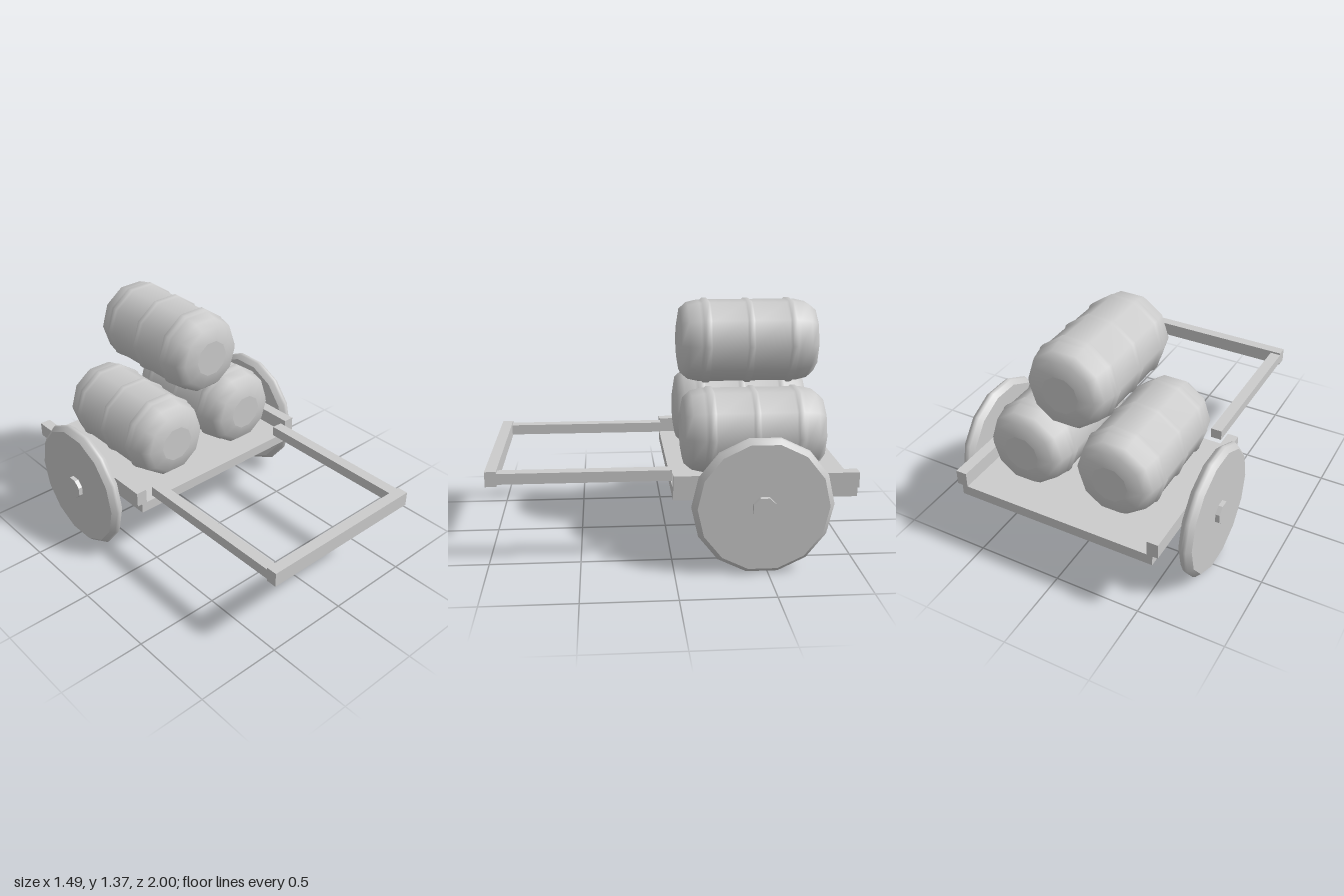
import * as THREE from 'three';

const mat = new THREE.MeshStandardMaterial({ color: 0xcccccc });
const AXLE_Y = 0.373, MID_Z = -0.47;

function add(parent, name, geometry, x = 0, y = 0, z = 0) {
  const mesh = new THREE.Mesh(geometry, mat);
  mesh.name = name;
  mesh.position.set(x, y, z);
  parent.add(mesh);
  return mesh;
}

// box given by its extents on each axis
function box(parent, name, [x0, x1], [y0, y1], [z0, z1]) {
  return add(parent, name, new THREE.BoxGeometry(x1 - x0, y1 - y0, z1 - z0),
    (x0 + x1) / 2, (y0 + y1) / 2, (z0 + z1) / 2);
}

// ten-sided barrel lying along z, with three raised hoops and flat heads
function createBarrel(name, x, y) {
  const barrel = new THREE.Group();
  barrel.name = name;
  const R = 0.237, HOOP = 0.246, HEAD = 0.105, HALF = 0.402;
  const pts = [[HEAD, -HALF], [0.185, -0.388], [0.222, -0.345], [R, -0.28]];
  for (const h of [-0.24, 0, 0.24]) {
    pts.push([R, h - 0.024], [HOOP, h - 0.014], [HOOP, h + 0.014], [R, h + 0.024]);
  }
  pts.push([R, 0.28], [0.222, 0.345], [0.185, 0.388], [HEAD, HALF]);
  const body = new THREE.LatheGeometry(pts.map(p => new THREE.Vector2(...p)), 10, Math.PI / 2);
  body.rotateX(Math.PI / 2);
  add(barrel, 'barrelBody', body);
  const head = new THREE.CircleGeometry(HEAD, 10);
  add(barrel, 'barrelFrontHead', head, 0, 0, HALF);
  add(barrel, 'barrelBackHead', head, 0, 0, -HALF).rotation.y = Math.PI;
  barrel.position.set(x, y, MID_Z + 0.003);
  return barrel;
}

export function createModel() {
  const cart = new THREE.Group();
  cart.name = 'barrelCart';

  // bed and axle
  box(cart, 'bed', [-0.585, 0.585], [0.377, 0.437], [-1, 0]);
  box(cart, 'axle', [-0.63, 0.63], [0.356, 0.396], [MID_Z - 0.02, MID_Z + 0.02]);

  // wheel disc with bevelled rim, axis along x
  const face = 0.038;
  const rim = [[0.352, -face], [0.376, -0.014], [0.382, 0], [0.376, 0.014], [0.352, face]];
  const rimGeo = new THREE.LatheGeometry(rim.map(p => new THREE.Vector2(...p)), 14);
  rimGeo.rotateZ(Math.PI / 2);
  const faceGeo = new THREE.CircleGeometry(0.352, 14);
  faceGeo.rotateY(Math.PI / 2);
  const hubGeo = new THREE.CylinderGeometry(0.066, 0.066, 0.125, 8, 1, false, Math.PI / 8).toNonIndexed();
  hubGeo.computeVertexNormals();
  hubGeo.rotateZ(Math.PI / 2);

  for (const s of [1, -1]) {
    const side = s > 0 ? 'left' : 'right';
    const span = (a, b) => (s > 0 ? [a, b] : [-b, -a]);

    // side rail and pulling shaft
    box(cart, side + 'Rail', span(0.552, 0.616), [0.437, 0.523], [-1, 0]);
    box(cart, side + 'Shaft', span(0.447, 0.512), [0.464, 0.524], [0, 0.94]);

    // wheel
    const wheel = new THREE.Group();
    wheel.name = side + 'Wheel';
    add(wheel, 'wheelRim', rimGeo);
    add(wheel, 'wheelOuterFace', faceGeo, face);
    add(wheel, 'wheelInnerFace', faceGeo, -face).rotation.y = Math.PI;
    add(wheel, 'hub', hubGeo);
    wheel.position.set(s * 0.681, AXLE_Y, MID_Z);
    wheel.rotation.y = s > 0 ? 0 : Math.PI;
    cart.add(wheel);

    cart.add(createBarrel(side + 'Barrel', s * 0.268, 0.677));
  }

  // handle bar and upper barrel
  box(cart, 'handleBar', [-0.512, 0.512], [0.452, 0.536], [0.938, 1]);
  cart.add(createBarrel('topBarrel', 0, 1.137));

  return cart;
}
